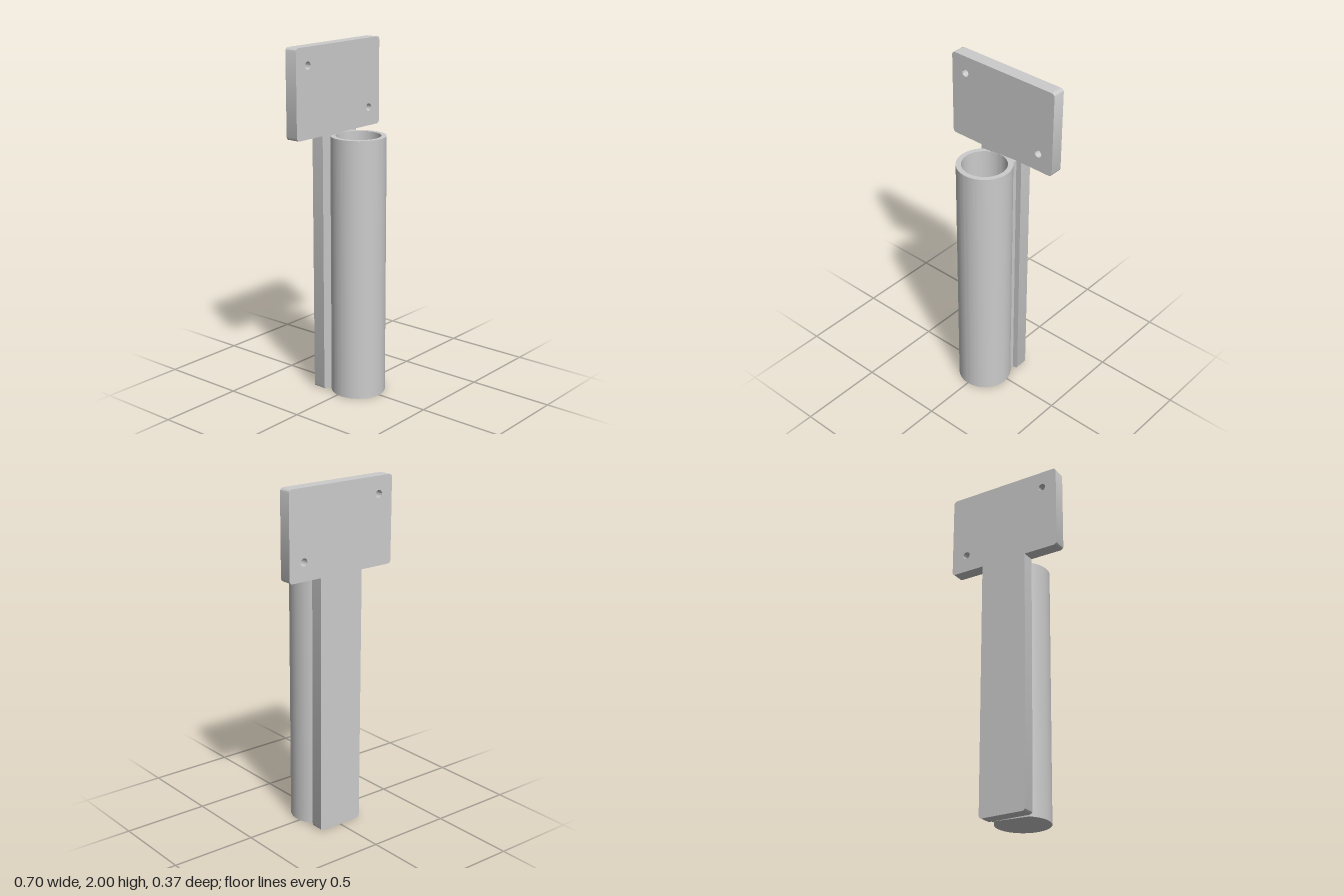
import * as THREE from 'three';
import { toCreasedNormals } from 'three/addons/utils/BufferGeometryUtils.js';

const material = new THREE.MeshStandardMaterial({ color: 0xcccccc });

function extrude(shape, depth) {
  const geo = new THREE.ExtrudeGeometry(shape, { depth, bevelEnabled: false, curveSegments: 48 });
  return toCreasedNormals(geo, 0.4);
}

function circlePath(x, y, r) {
  return new THREE.Path().absarc(x, y, r, 0, Math.PI * 2, true);
}

// T-shaped outline: wide plate on a narrower strip, outer corners rounded
function backShape() {
  const w = 0.35, s = 0.142, r = 0.02, top = 2, mid = 1.5;
  const shape = new THREE.Shape();
  const q = Math.PI / 2;
  shape.moveTo(-s + r, 0);
  shape.absarc(s - r, r, r, -q, 0, false);
  shape.lineTo(s, mid);
  shape.absarc(w - r, mid + r, r, -q, 0, false);
  shape.absarc(w - r, top - r, r, 0, q, false);
  shape.absarc(-w + r, top - r, r, q, 2 * q, false);
  shape.absarc(-w + r, mid + r, r, 2 * q, 3 * q, false);
  shape.lineTo(-s, mid);
  shape.absarc(-s + r, r, r, 2 * q, 3 * q, false);
  shape.holes.push(circlePath(-0.257, 1.9, 0.022), circlePath(0.255, 1.605, 0.022));
  return shape;
}

// Tube section joined to the neck behind it (shape y becomes -z)
const tubeZ = 0.027, outer = 0.155, bore = 0.126, neck = 0.108, backFront = -0.11;
function tubeShape(hollow) {
  const a = Math.acos(neck / outer);
  const shape = new THREE.Shape();
  shape.moveTo(-neck, -backFront);
  shape.absarc(0, -tubeZ, outer, Math.PI - a, Math.PI * 2 + a, false);
  shape.lineTo(neck, -backFront);
  if (hollow) shape.holes.push(circlePath(0, -tubeZ, bore));
  return shape;
}

export function createModel() {
  const model = new THREE.Group();
  model.name = 'tubeHolder';

  const add = (name, geo) => {
    const mesh = new THREE.Mesh(geo, material);
    mesh.name = name;
    model.add(mesh);
    return mesh;
  };

  // Mounting plate and strip
  add('mountingPlate', extrude(backShape(), 0.075)).position.z = -0.185;

  // Hollow tube on a closed floor
  const floor = 0.03;
  add('tubeFloor', extrude(tubeShape(false), floor)).rotation.x = -Math.PI / 2;
  const tube = add('tube', extrude(tubeShape(true), 1.5 - floor));
  tube.rotation.x = -Math.PI / 2;
  tube.position.y = floor;

  return model;
}
